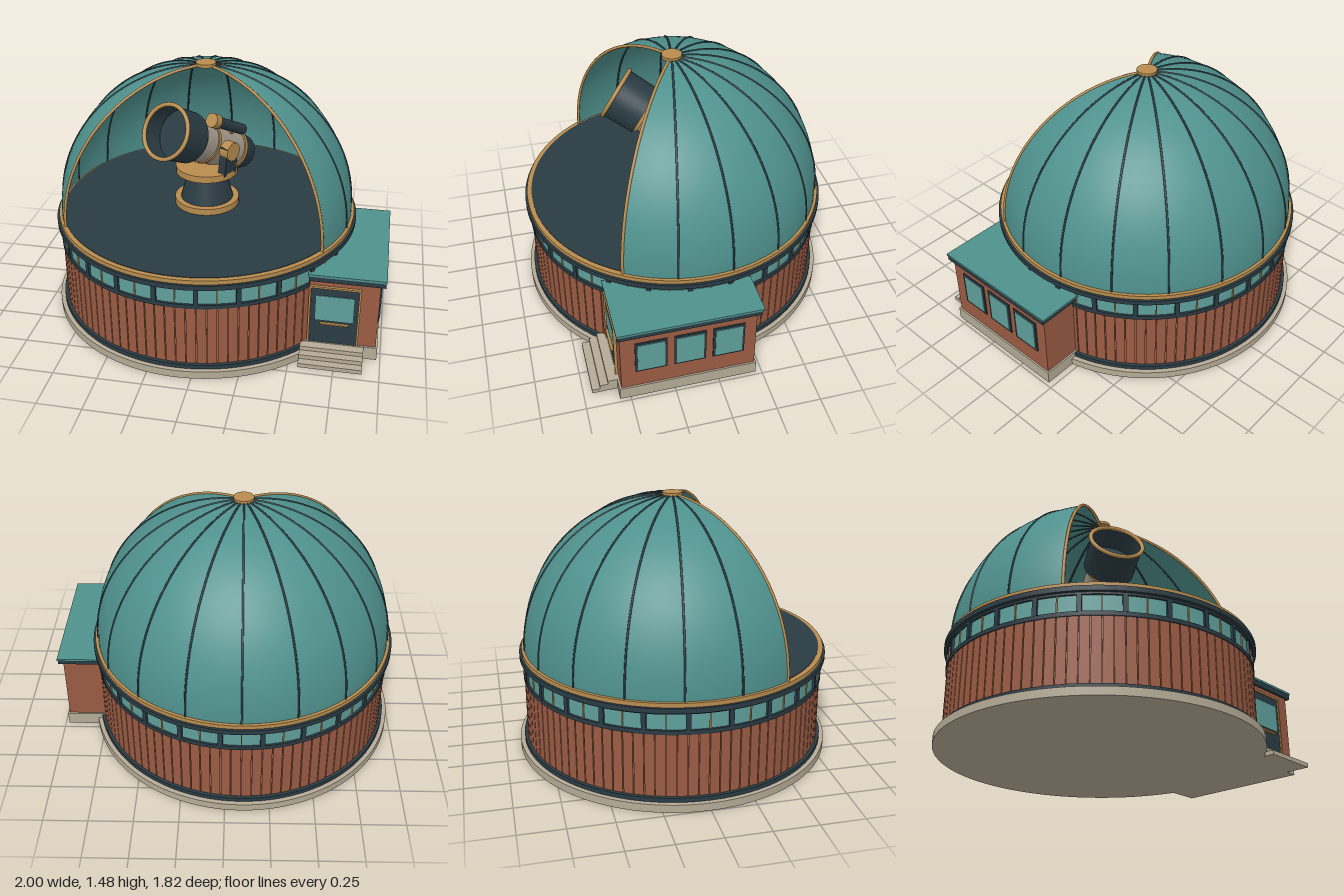
import * as THREE from 'three';

const mat = (name, color, opts = {}) => {
  const m = new THREE.MeshStandardMaterial({ color, ...opts });
  m.name = name;
  return m;
};

export function createModel() {
  const teal = mat('copperTeal', 0x4f918d, { side: THREE.DoubleSide });
  const dark = mat('darkSlate', 0x2a3b43, { side: THREE.DoubleSide });
  const gold = mat('brass', 0xb88c4e);
  const brick = mat('brick', 0x9a5b43);
  const stone = mat('stone', 0xb5ab96);
  const glass = mat('glass', 0x5f9f9b);
  const ivory = mat('tubeGrey', 0xa59b8e);

  const root = new THREE.Group();
  root.name = 'observatory';

  const add = (parent, name, geo, material, x = 0, y = 0, z = 0) => {
    const m = new THREE.Mesh(geo, material);
    m.name = name;
    m.position.set(x, y, z);
    parent.add(m);
    return m;
  };
  // box given by its extents
  const box = (parent, name, material, x0, x1, y0, y1, z0, z1) =>
    add(parent, name, new THREE.BoxGeometry(x1 - x0, y1 - y0, z1 - z0), material,
      (x0 + x1) / 2, (y0 + y1) / 2, (z0 + z1) / 2);
  // upright round part between two heights
  const drum = (parent, name, material, r, y0, y1, rTop = r, seg = 96) =>
    add(parent, name, new THREE.CylinderGeometry(rTop, r, y1 - y0, seg), material, 0, (y0 + y1) / 2, 0);
  // box standing on a circle, angle measured from the front
  const radial = (parent, name, material, a, r, y0, y1, w, d) => {
    const m = add(parent, name, new THREE.BoxGeometry(w, y1 - y0, d), material,
      Math.sin(a) * r, (y0 + y1) / 2, Math.cos(a) * r);
    m.rotation.y = a;
  };

  // ---- round building ----
  const tower = new THREE.Group();
  tower.name = 'tower';
  tower.position.x = -0.09;
  root.add(tower);

  drum(tower, 'plinth', stone, 0.91, 0, 0.045);
  drum(tower, 'wallFoot', dark, 0.885, 0.045, 0.07);
  drum(tower, 'wall', brick, 0.86, 0.07, 0.43);
  drum(tower, 'sillBand', dark, 0.872, 0.428, 0.452);
  drum(tower, 'windowBand', glass, 0.86, 0.45, 0.547);
  drum(tower, 'eaveLower', dark, 0.872, 0.543, 0.556);
  drum(tower, 'eave', dark, 0.89, 0.555, 0.583);
  drum(tower, 'domeRail', gold, 0.877, 0.583, 0.607);
  drum(tower, 'floor', dark, 0.85, 0.6, 0.61);

  // upright wall boards
  const boards = 96;
  for (let i = 0; i < boards; i++)
    radial(tower, 'wallBoard', brick, (i + 0.5) / boards * Math.PI * 2, 0.861, 0.07, 0.43, 0.051, 0.01);

  // window posts and slim brass mullions
  for (let i = 0; i < 24; i++) {
    const a = i / 24 * Math.PI * 2;
    radial(tower, 'mullion', gold, a, 0.86, 0.45, 0.547, 0.007, 0.012);
    radial(tower, 'windowPost', dark, a + Math.PI / 24, 0.86, 0.45, 0.547, 0.026, 0.026);
  }

  // ---- dome with a wide opening to the front ----
  const open = THREE.MathUtils.degToRad(58);
  const sweep = Math.PI * 2 - open * 2;
  const R = 0.86, domeY = 0.607;
  add(tower, 'domeShell',
    new THREE.SphereGeometry(R, 72, 28, Math.PI / 2 + open, sweep, 0, Math.PI / 2), teal, 0, domeY, 0);
  for (let i = 0; i <= 12; i++) {
    const edge = i === 0 || i === 12;
    const rib = add(tower, edge ? 'openingTrim' : 'domeRib',
      new THREE.TorusGeometry(R, edge ? 0.009 : 0.006, 6, 40, Math.PI / 2), edge ? gold : dark, 0, domeY, 0);
    rib.rotation.y = open + sweep * i / 12 - Math.PI / 2;
  }
  drum(tower, 'domeCap', gold, 0.057, 1.463, 1.482, 0.057, 32);

  // ---- telescope pier ----
  drum(tower, 'pierBase', gold, 0.19, 0.61, 0.648, 0.19, 40);
  drum(tower, 'pier', dark, 0.155, 0.648, 0.815, 0.11, 40);
  drum(tower, 'turntable', gold, 0.183, 0.815, 0.855, 0.183, 40);

  const mount = new THREE.Group();
  mount.name = 'mount';
  mount.position.y = 0.99;
  mount.rotation.y = -Math.PI / 6;
  tower.add(mount);
  for (const s of [-1, 1]) {
    const arm = box(mount, 'forkArm', dark, -0.025, 0.025, -0.15, 0.03, -0.05, 0.05);
    arm.position.x = s * 0.165;
    arm.rotation.z = -s * 0.12;
    const hub = add(mount, 'trunnion', new THREE.CylinderGeometry(0.055, 0.055, 0.06, 24), gold, s * 0.175, 0, 0);
    hub.rotation.z = Math.PI / 2;
  }

  // ---- telescope tube, pointing along its own +z ----
  const scope = new THREE.Group();
  scope.name = 'telescope';
  scope.rotation.x = -THREE.MathUtils.degToRad(28);
  mount.add(scope);
  const tube = (name, material, r, z0, z1, x = 0, y = 0, openEnded = false, rFront = r) => {
    const g = new THREE.CylinderGeometry(rFront, r, z1 - z0, 40, 1, openEnded);
    g.rotateX(Math.PI / 2);
    add(scope, name, g, material, x, y, (z0 + z1) / 2);
  };
  tube('tailCell', dark, 0.1, -0.36, -0.24, 0, 0, false, 0.122);
  tube('rearBand', gold, 0.13, -0.24, -0.215);
  tube('mainTube', ivory, 0.122, -0.215, 0.18);
  tube('middleBand', gold, 0.129, 0.03, 0.05);
  tube('frontBand', gold, 0.135, 0.165, 0.185);
  tube('shieldBack', dark, 0.148, 0.185, 0.25);
  tube('shield', dark, 0.148, 0.2, 0.38, 0, 0, true, 0.152);
  add(scope, 'shieldRim', new THREE.TorusGeometry(0.153, 0.012, 10, 48), gold, 0, 0, 0.38);
  tube('finderTube', dark, 0.032, -0.16, 0.12, 0.1, 0.135);
  tube('finderFront', gold, 0.041, 0.1, 0.15, 0.1, 0.135);
  for (const z of [-0.09, 0.06]) {
    const strut = box(scope, 'finderStrut', gold, -0.012, 0.012, -0.03, 0.03, z - 0.012, z + 0.012);
    strut.position.x = 0.08;
    strut.position.y = 0.108;
    strut.rotation.z = -0.63;
  }

  // ---- entrance annex ----
  const annex = new THREE.Group();
  annex.name = 'annex';
  root.add(annex);
  box(annex, 'annexBase', stone, 0.56, 0.98, 0, 0.078, -0.215, 0.56);
  box(annex, 'annexWalls', brick, 0.59, 0.97, 0.075, 0.485, -0.205, 0.548);
  box(annex, 'roofTrim', dark, 0.585, 0.996, 0.477, 0.508, -0.225, 0.562);
  box(annex, 'roof', teal, 0.58, 1.0, 0.507, 0.52, -0.235, 0.566);
  for (let i = 0; i < 3; i++)
    box(annex, 'step', stone, 0.555, 0.905, 0, 0.075 - 0.025 * i, 0.5, 0.612 + 0.045 * i);

  // door
  box(annex, 'doorLeaf', dark, 0.6, 0.86, 0.078, 0.435, 0.545, 0.556);
  box(annex, 'doorFrameLeft', gold, 0.86, 0.871, 0.078, 0.446, 0.54, 0.564);
  box(annex, 'doorFrameRight', gold, 0.588, 0.599, 0.078, 0.446, 0.54, 0.564);
  box(annex, 'doorFrameTop', gold, 0.588, 0.871, 0.435, 0.446, 0.54, 0.564);
  box(annex, 'doorGlass', glass, 0.628, 0.835, 0.23, 0.387, 0.553, 0.56);
  box(annex, 'doorBar', gold, 0.655, 0.812, 0.206, 0.214, 0.553, 0.572);

  // side windows
  for (const z of [0.38, 0.165, -0.05]) {
    box(annex, 'windowFrame', dark, 0.965, 0.977, 0.195, 0.412, z - 0.088, z + 0.088);
    box(annex, 'windowGlass', glass, 0.974, 0.981, 0.208, 0.399, z - 0.075, z + 0.075);
  }
  return root;
}
